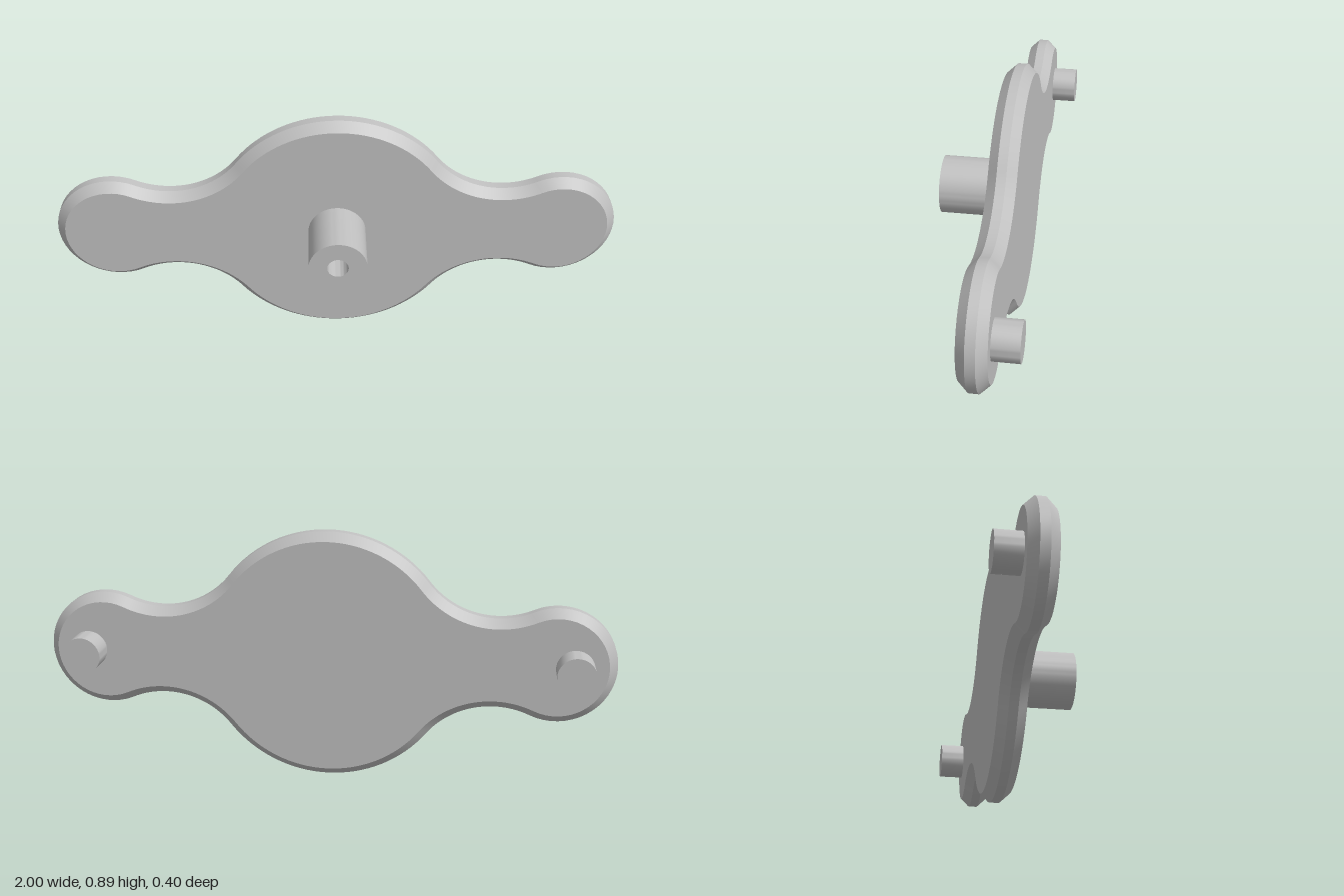
import * as THREE from 'three';
import { toCreasedNormals } from 'three/addons/utils/BufferGeometryUtils.js';

const CENTRE_Y = 0.446;   // height of the horizontal mid line
const HUB_R = 0.446;      // big middle lobe
const END_R = 0.205;      // end lobes
const END_X = 0.795;
const NECK_R = 0.3;       // concave arcs joining the lobes

// Outline made of eight tangent arcs, counter-clockwise
function plateShape() {
  const a = HUB_R + NECK_R, b = END_R + NECK_R;
  const nx = (a * a - b * b + END_X * END_X) / (2 * END_X);
  const ny = Math.sqrt(a * a - nx * nx);
  const t1 = Math.atan2(ny, nx), t2 = Math.atan2(ny, nx - END_X), PI = Math.PI;
  const arcs = [
    [0, 0, HUB_R, t1, PI - t1],
    [-nx, ny, NECK_R, -t1, -t2],
    [-END_X, 0, END_R, PI - t2, PI + t2],
    [-nx, -ny, NECK_R, t2, t1],
    [0, 0, HUB_R, PI + t1, 2 * PI - t1],
    [nx, -ny, NECK_R, PI - t1, PI - t2],
    [END_X, 0, END_R, -t2, t2],
    [nx, ny, NECK_R, PI + t2, PI + t1],
  ];
  const points = [], n = 32;
  for (const [x, y, r, from, to] of arcs) {
    for (let i = 0; i < n; i++) {
      const t = from + (to - from) * i / n;
      points.push(new THREE.Vector2(x + r * Math.cos(t), y + r * Math.sin(t)));
    }
  }
  return new THREE.Shape(points);
}

export function createModel() {
  const group = new THREE.Group();
  const grey = new THREE.MeshStandardMaterial({ color: 0xc0c0c0 });
  grey.name = 'grey';

  function add(name, geometry, x, z) {
    const mesh = new THREE.Mesh(toCreasedNormals(geometry, 0.5), grey);
    mesh.name = name;
    mesh.position.set(x, CENTRE_Y, z);
    group.add(mesh);
  }

  // Chamfered three-lobed plate
  add('plate', new THREE.ExtrudeGeometry(plateShape(), {
    depth: 0.032, bevelEnabled: true, bevelThickness: 0.032,
    bevelSize: 0.03, bevelOffset: -0.03, bevelSegments: 1,
  }), 0, -0.075);

  // Front boss with a blind bore
  const bossProfile = [[0.1025, -0.03], [0.1025, 0.2], [0.037, 0.2], [0.037, -0.01], [0, -0.01]]
    .map(([r, z]) => new THREE.Vector2(r, z));
  add('boss', new THREE.LatheGeometry(bossProfile, 64).rotateX(Math.PI / 2), 0, 0);

  // Pins on the back of the end lobes
  for (const side of [1, -1]) {
    add(side > 0 ? 'leftPin' : 'rightPin',
      new THREE.CylinderGeometry(0.066, 0.066, 0.106, 48).rotateX(Math.PI / 2), side * 0.856, -0.143);
  }
  return group;
}
